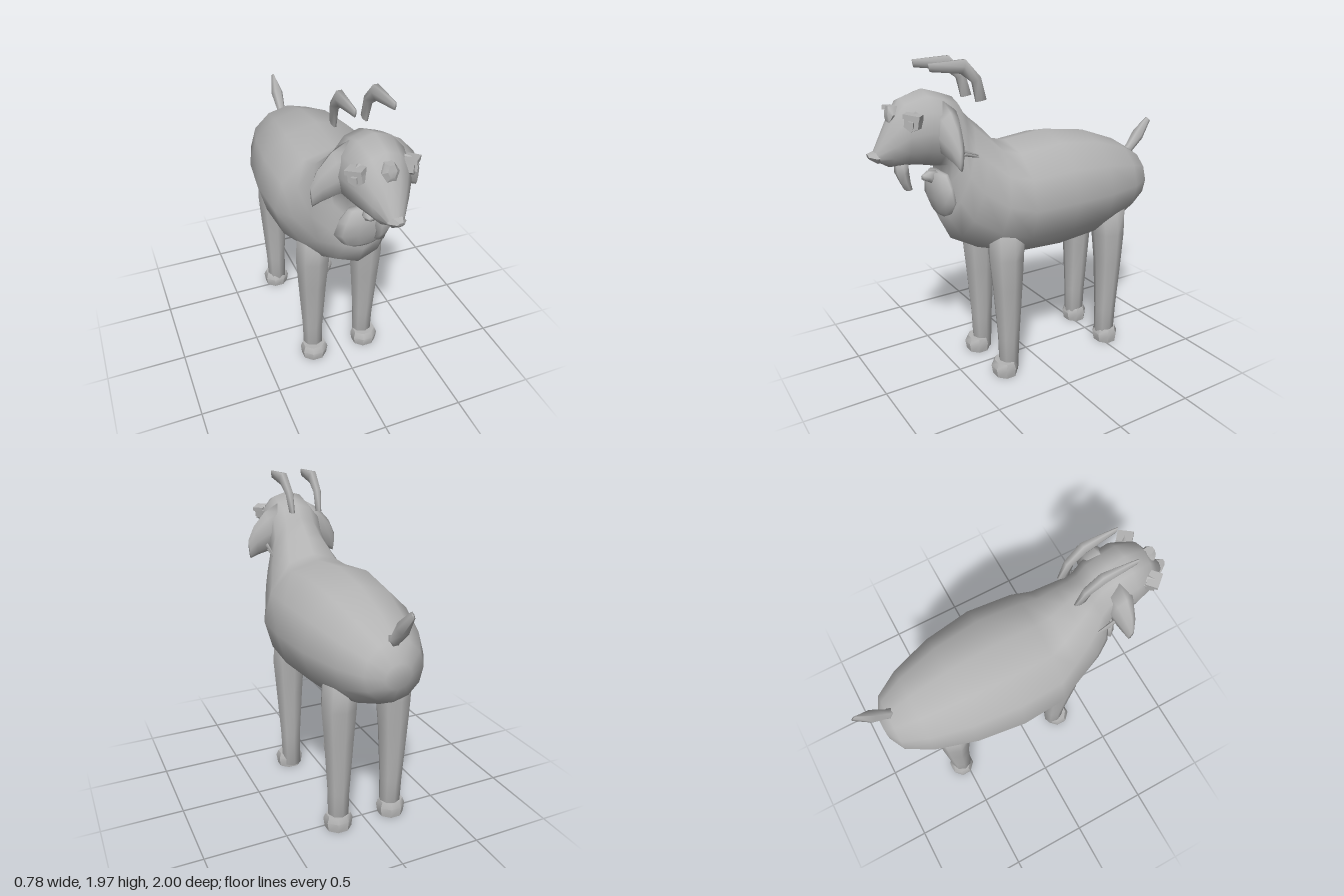
import * as THREE from 'three';
import { toCreasedNormals } from 'three/addons/utils/BufferGeometryUtils.js';

// Closed tube through elliptical sections.
// Section: [zA, yA, zB, yB, halfWidth, x]; A and B are opposite ends of its upright axis.
function loft(sections, sides = 12, phase = 0) {
  const pos = [], index = [], n = sections.length;
  const k = phase ? 1 / Math.cos(phase) : 1;
  for (const [zA, yA, zB, yB, w, x = 0] of sections) {
    for (let i = 0; i < sides; i++) {
      const a = phase + (i / sides) * Math.PI * 2;
      const s = (Math.sin(a) * k) / 2;
      pos.push(x + Math.cos(a) * k * w, (yA + yB) / 2 + s * (yA - yB), (zA + zB) / 2 + s * (zA - zB));
    }
  }
  for (const [zA, yA, zB, yB, , x = 0] of [sections[0], sections[n - 1]]) {
    pos.push(x, (yA + yB) / 2, (zA + zB) / 2);
  }
  const first = n * sides, last = first + 1;
  for (let i = 0; i < sides; i++) {
    const j = (i + 1) % sides;
    for (let r = 0; r < n - 1; r++) {
      const a = r * sides + i, b = r * sides + j;
      index.push(a, b, b + sides, a, b + sides, a + sides);
    }
    const e = (n - 1) * sides;
    index.push(first, j, i, last, e + i, e + j);
  }
  const g = new THREE.BufferGeometry();
  g.setAttribute('position', new THREE.Float32BufferAttribute(pos, 3));
  g.setIndex(index);
  g.computeVertexNormals();
  return g;
}

export function createModel() {
  const model = new THREE.Group();
  model.name = 'goat';
  const grey = new THREE.MeshStandardMaterial({ color: 0xb4b4b4 });
  grey.name = 'plain grey';

  const add = (name, geometry, parent = model) => {
    const mesh = new THREE.Mesh(geometry, grey);
    mesh.name = name;
    parent.add(mesh);
    return mesh;
  };
  const creased = (g) => toCreasedNormals(g, 0.7);

  // Rump, barrel, chest, neck and head in one skin
  add('bodyAndHead', loft([
    [-0.88, 1.17, -0.87, 1.02, 0.08],
    [-0.82, 1.28, -0.83, 0.93, 0.18],
    [-0.67, 1.37, -0.68, 0.85, 0.27],
    [-0.42, 1.46, -0.42, 0.78, 0.35],
    [-0.13, 1.5, -0.13, 0.76, 0.39],
    [0.15, 1.47, 0.15, 0.77, 0.37],
    [0.24, 1.49, 0.35, 0.82, 0.31],
    [0.33, 1.58, 0.53, 0.92, 0.255],
    [0.39, 1.63, 0.6, 1.06, 0.215],
    [0.44, 1.68, 0.58, 1.25, 0.185],
    [0.49, 1.76, 0.57, 1.37, 0.18],
    [0.57, 1.79, 0.62, 1.38, 0.185],
    [0.67, 1.82, 0.71, 1.4, 0.185],
    [0.8, 1.78, 0.8, 1.41, 0.15],
    [0.87, 1.67, 0.88, 1.41, 0.1],
    [0.96, 1.51, 0.93, 1.44, 0.045],
  ]));

  // Nose
  add('nose', creased(loft([
    [0.91, 1.52, 0.91, 1.45, 0.04],
    [0.96, 1.51, 0.95, 1.44, 0.05],
    [1.0, 1.5, 0.99, 1.47, 0.02],
  ], 6)));

  // Forehead tuft
  add('foreheadTuft', creased(loft([
    [0.8, 1.75, 0.83, 1.64, 0.035],
    [0.84, 1.75, 0.875, 1.65, 0.048],
    [0.87, 1.75, 0.885, 1.68, 0.025],
  ], 6)));

  // Beard
  add('beard', loft([
    [0.85, 1.43, 0.77, 1.42, 0.03],
    [0.85, 1.37, 0.77, 1.37, 0.045],
    [0.825, 1.31, 0.762, 1.31, 0.025],
    [0.8, 1.265, 0.755, 1.265, 0.03],
  ], 6));

  // Rounded chest tuft with a small knob on top
  add('chestTuft', loft([
    [0.63, 1.34, 0.55, 1.34, 0.1],
    [0.65, 1.27, 0.52, 1.27, 0.15],
    [0.645, 1.19, 0.515, 1.19, 0.175],
    [0.62, 1.11, 0.53, 1.11, 0.12],
    [0.6, 1.085, 0.56, 1.085, 0.07],
  ], 10));
  add('chestKnob', loft([
    [0.6, 1.35, 0.63, 1.27, 0.035],
    [0.65, 1.355, 0.66, 1.29, 0.04],
    [0.685, 1.335, 0.69, 1.305, 0.02],
  ], 6));

  // Tail
  add('tail', loft([
    [-0.82, 1.22, -0.74, 1.3, 0.05],
    [-0.845, 1.26, -0.8, 1.3, 0.028],
    [-0.925, 1.335, -0.87, 1.4, 0.04],
    [-1.0, 1.45, -0.965, 1.48, 0.008],
  ], 6));

  for (const s of [1, -1]) {
    const side = s > 0 ? 'left' : 'right';

    // Horn, floating above the head
    add(side + 'Horn', loft([
      [0.315, 1.74, 0.39, 1.73, 0.012, s * 0.09],
      [0.355, 1.87, 0.41, 1.84, 0.026, s * 0.095],
      [0.45, 1.975, 0.48, 1.89, 0.03, s * 0.1],
      [0.67, 1.965, 0.66, 1.915, 0.006, s * 0.105],
    ], 6));

    // Drooping ear, lofted outwards from the head
    const ear = add(side + 'Ear', loft([
      [0.1, 1.76, 0.1, 1.46, 0.1, -s * 0.59],
      [0.19, 1.71, 0.17, 1.45, 0.07, -s * 0.59],
      [0.27, 1.62, 0.25, 1.43, 0.04, -s * 0.59],
      [0.31, 1.53, 0.3, 1.41, 0.012, -s * 0.59],
    ], 8));
    ear.rotation.y = s * Math.PI / 2;

    // Eye with a raised lid and pupil
    const eye = new THREE.Group();
    eye.name = side + 'Eye';
    eye.position.set(s * 0.14, 1.67, 0.785);
    eye.rotation.set(0, s * 0.85, s * -0.15);
    model.add(eye);
    add('eyeball', creased(new THREE.CylinderGeometry(0.045, 0.055, 0.06, 6).rotateX(Math.PI / 2)), eye);
    add('eyelid', new THREE.BoxGeometry(0.09, 0.025, 0.07).translate(0, 0.035, 0.01), eye);
    add('pupil', new THREE.BoxGeometry(0.03, 0.035, 0.02).translate(0, -0.005, 0.035), eye);

    // Thin hair spikes beside the neck
    for (const [i, y] of [1.475, 1.45].entries()) {
      const spike = add(side + 'NeckSpike' + (i + 1), new THREE.ConeGeometry(0.014, 0.16, 4));
      spike.position.set(s * 0.195, y, 0.48 - i * 0.04);
      spike.rotation.x = -Math.PI / 2 - 0.35;
    }

    // Legs, from the body down to the ankle
    add(side + 'FrontLeg', loft([
      [0.36, 0.98, 0.12, 0.98, 0.1, s * 0.17],
      [0.36, 0.8, 0.14, 0.8, 0.108, s * 0.175],
      [0.34, 0.6, 0.15, 0.6, 0.092, s * 0.177],
      [0.31, 0.25, 0.17, 0.25, 0.068, s * 0.177],
      [0.3, 0.02, 0.18, 0.02, 0.064, s * 0.175],
    ], 8));
    add(side + 'HindLeg', loft([
      [-0.4, 0.98, -0.64, 0.98, 0.1, s * 0.17],
      [-0.42, 0.8, -0.63, 0.8, 0.108, s * 0.175],
      [-0.44, 0.6, -0.62, 0.6, 0.092, s * 0.177],
      [-0.455, 0.25, -0.6, 0.25, 0.068, s * 0.177],
      [-0.46, 0.02, -0.59, 0.02, 0.064, s * 0.175],
    ], 8));

    // Hooves
    for (const [name, z] of [['FrontHoof', 0.27], ['HindHoof', -0.535]]) {
      add(side + name, creased(loft([
        [z + 0.06, 0.095, z - 0.06, 0.095, 0.07, s * 0.18],
        [z + 0.08, 0.06, z - 0.075, 0.06, 0.083, s * 0.18],
        [z + 0.07, 0, z - 0.07, 0, 0.075, s * 0.18],
      ], 8, Math.PI / 8)));
    }
  }
  return model;
}
